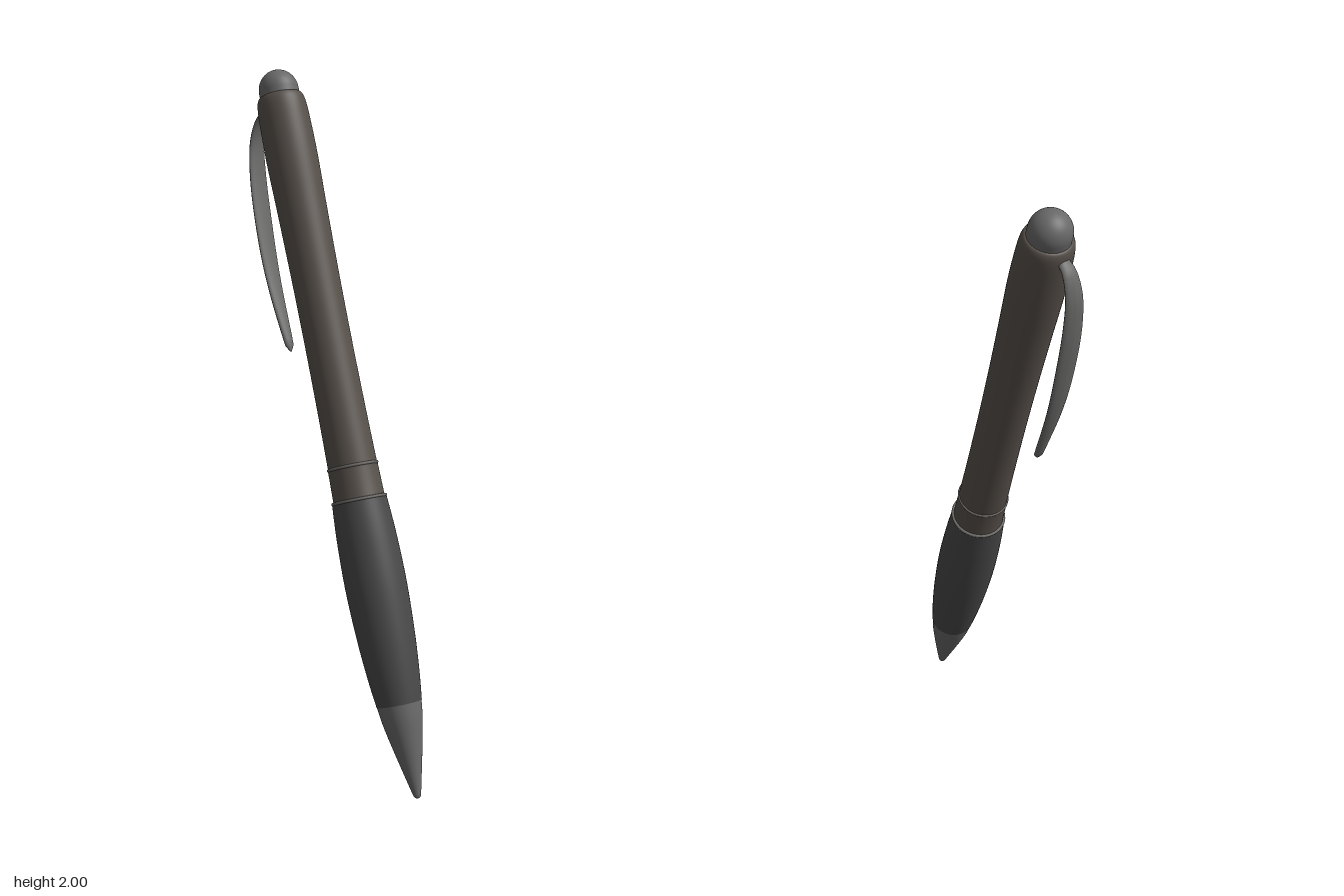
import * as THREE from 'three';

const V2 = (x, y) => new THREE.Vector2(x, y);

// Round part about the pen's axis; profile pairs are [radius, distance from the tip]
function turned(name, color, profile, smooth = true) {
  let pts = profile.map(([r, s]) => V2(r, s));
  if (smooth) pts = new THREE.SplineCurve(pts).getPoints(pts.length * 4);
  pts.forEach((p) => { p.x = Math.max(p.x, 0); });
  const mesh = new THREE.Mesh(
    new THREE.LatheGeometry(pts, 48),
    new THREE.MeshStandardMaterial({ color, side: THREE.DoubleSide })
  );
  mesh.name = name;
  return mesh;
}

// Thin ring around the seam between two parts
function seamRing(name, radius, s) {
  const mesh = new THREE.Mesh(
    new THREE.TorusGeometry(radius, 0.005, 8, 48),
    new THREE.MeshStandardMaterial({ color: 0x6b6965 })
  );
  mesh.rotation.x = Math.PI / 2;
  mesh.position.y = s;
  mesh.name = name;
  return mesh;
}

// Bowed clip: an oval bar swept along a curve and tapered towards both ends
function makeClip() {
  const path = new THREE.CatmullRomCurve3([
    [0.05, 2.01], [0.085, 2.0], [0.122, 1.95], [0.148, 1.85],
    [0.166, 1.66], [0.168, 1.52], [0.154, 1.315],
  ].map(([r, s]) => new THREE.Vector3(r, s, 0)));
  const geo = new THREE.CylinderGeometry(1, 1, 1, 16, 40);
  const pos = geo.attributes.position;
  const side = new THREE.Vector3(0, 0, 1);
  for (let i = 0; i < pos.count; i++) {
    const t = THREE.MathUtils.clamp(pos.getY(i) + 0.5, 0, 1);
    const p = path.getPointAt(t);
    const out = new THREE.Vector3().crossVectors(side, path.getTangentAt(t));
    const width = 0.013 + 0.021 * Math.pow(Math.sin(Math.PI * Math.pow(t, 0.8)), 0.8 );
    const end = t > 0.97 ? Math.sqrt(Math.max(1 - ((t - 0.97) / 0.03) ** 2, 0.04)) : 1;
    p.addScaledVector(side, pos.getX(i) * width * end);
    p.addScaledVector(out, pos.getZ(i) * 0.009 * end);
    pos.setXYZ(i, p.x, p.y, p.z);
  }
  geo.computeVertexNormals();
  const clip = new THREE.Mesh(geo, new THREE.MeshStandardMaterial({ color: 0x6a6a69, side: THREE.DoubleSide }));
  clip.name = 'clip';
  clip.rotation.y = 2.53;
  return clip;
}

export function createModel() {
  const group = new THREE.Group();
  group.name = 'pen';

  // Writing end and soft grip
  group.add(turned('tip', 0x686868, [
    [0, -0.008], [0.008, -0.004], [0.013, 0.01], [0.027, 0.07], [0.045, 0.15], [0.058, 0.215], [0.064, 0.262],
  ]));
  group.add(turned('grip', 0x484848, [
    [0.065, 0.262], [0.074, 0.34], [0.082, 0.44], [0.087, 0.55], [0.088, 0.64], [0.085, 0.75], [0.079, 0.845],
  ]));

  // Band between the two rings
  group.add(turned('band', 0x57504a, [[0.079, 0.845], [0.074, 0.85], [0.072, 0.945]], false));
  group.add(seamRing('lowerRing', 0.076, 0.848));
  group.add(seamRing('upperRing', 0.07, 0.945));

  // Barrel with a rounded shoulder
  group.add(turned('barrel', 0x57504a, [
    [0.071, 0.945], [0.069, 1.1], [0.068, 1.3], [0.069, 1.5], [0.072, 1.7], [0.075, 1.85],
    [0.074, 1.95], [0.071, 2.01], [0.064, 2.035], [0.054, 2.04],
  ]));

  // Domed push button
  const dome = [[0.058, 2.0], [0.058, 2.055]];
  for (let i = 1; i <= 10; i++) {
    const a = (i / 10) * Math.PI / 2;
    dome.push([0.058 * Math.cos(a), 2.055 + 0.06 * Math.sin(a)]);
  }
  group.add(turned('button', 0x686868, dome, false));
  group.add(makeClip());

  // Lean the whole pen
  const axis = new THREE.Vector3(-0.241, 1, -0.2605).normalize();
  group.quaternion.setFromUnitVectors(new THREE.Vector3(0, 1, 0), axis);
  group.position.set(0.275, 0.008, 0.284);

  const model = new THREE.Group();
  model.name = 'model';
  model.add(group);
  return model;
}
